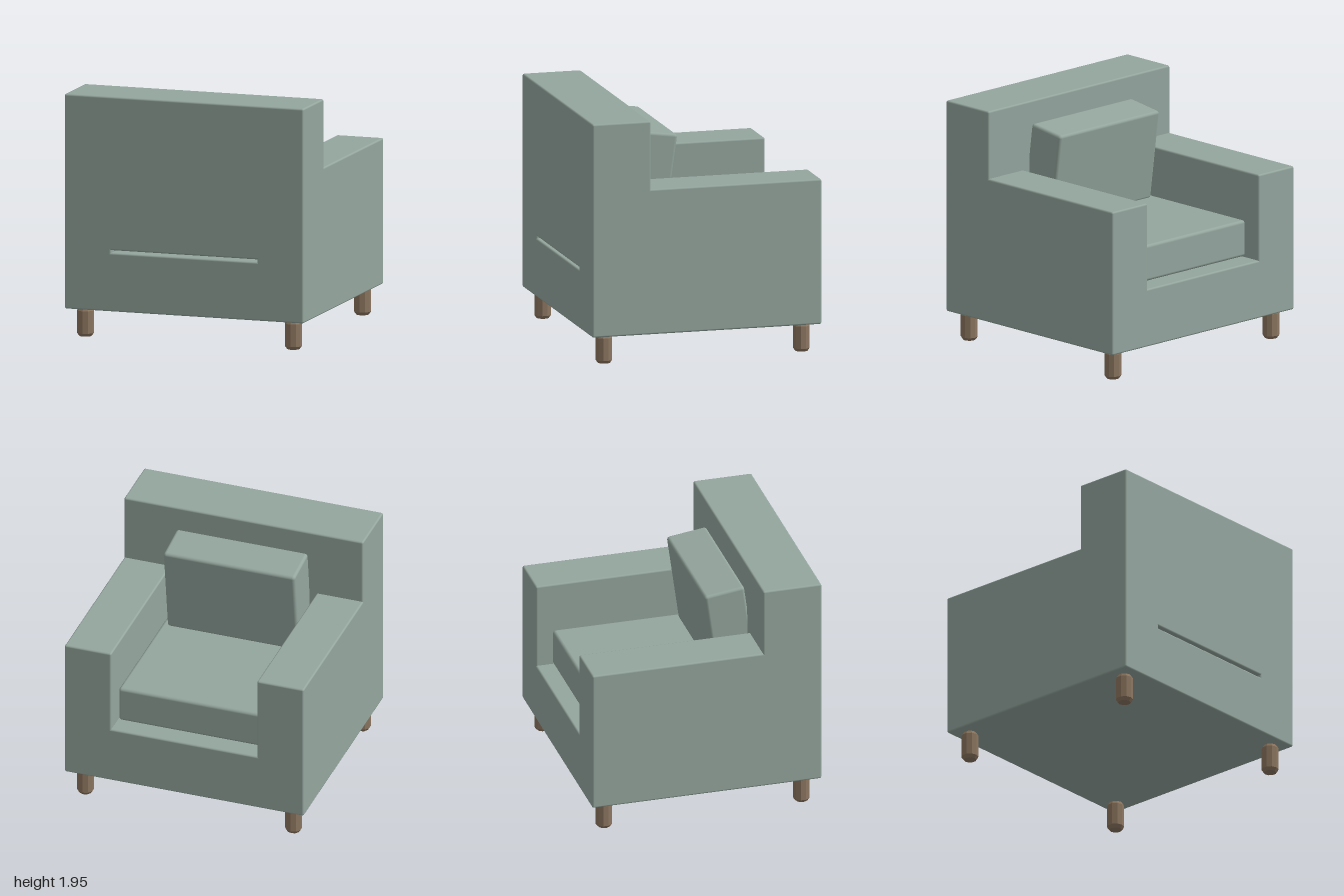
import * as THREE from 'three';
import { RoundedBoxGeometry } from 'three/addons/geometries/RoundedBoxGeometry.js';

export function createModel() {
  const model = new THREE.Group();
  model.name = 'armchair';

  const fabric = new THREE.MeshStandardMaterial({ color: 0x94a69e });
  fabric.name = 'sage fabric';
  const wood = new THREE.MeshStandardMaterial({ color: 0x8c7660 });
  wood.name = 'brown wood';
  wood.flatShading = true;

  // Softly bevelled block given by its minimum and maximum corners
  function block(name, [x0, y0, z0], [x1, y1, z1], radius = 0.015) {
    const geometry = new RoundedBoxGeometry(x1 - x0, y1 - y0, z1 - z0, 2, radius);
    const mesh = new THREE.Mesh(geometry, fabric);
    mesh.name = name;
    mesh.position.set((x0 + x1) / 2, (y0 + y1) / 2, (z0 + z1) / 2);
    model.add(mesh);
    return mesh;
  }

  // Frame: the seat opens towards -z, with a narrow slot under the backrest
  block('base', [-1, 0.23, -0.94], [1, 0.7, 0.94]);
  block('backrest', [-1, 0.72, 0.46], [1, 1.95, 0.94]);
  block('leftArm', [0.61, 0.23, -0.94], [1, 1.4, 0.94]);
  block('rightArm', [-1, 0.23, -0.94], [-0.61, 1.4, 0.94]);

  // Loose cushions
  block('seatCushion', [-0.595, 0.715, -0.81], [0.595, 1.01, 0.45], 0.025);
  const pillow = block('backPillow', [-0.55, 1.016, 0.158], [0.55, 1.756, 0.488], 0.025);
  pillow.rotation.x = -0.136;

  // Four bevelled legs
  const legProfile = [[0, 0], [0.05, 0], [0.068, 0.025], [0.068, 0.205], [0.05, 0.235], [0, 0.235]]
    .map(([r, y]) => new THREE.Vector2(r, y));
  const legGeometry = new THREE.LatheGeometry(legProfile, 10);
  for (const x of [-0.87, 0.87]) {
    for (const z of [-0.81, 0.81]) {
      const leg = new THREE.Mesh(legGeometry, wood);
      leg.name = (z < 0 ? 'seatSide' : 'backrestSide') + (x > 0 ? 'LeftLeg' : 'RightLeg');
      leg.position.set(x, 0, z);
      model.add(leg);
    }
  }
  return model;
}
